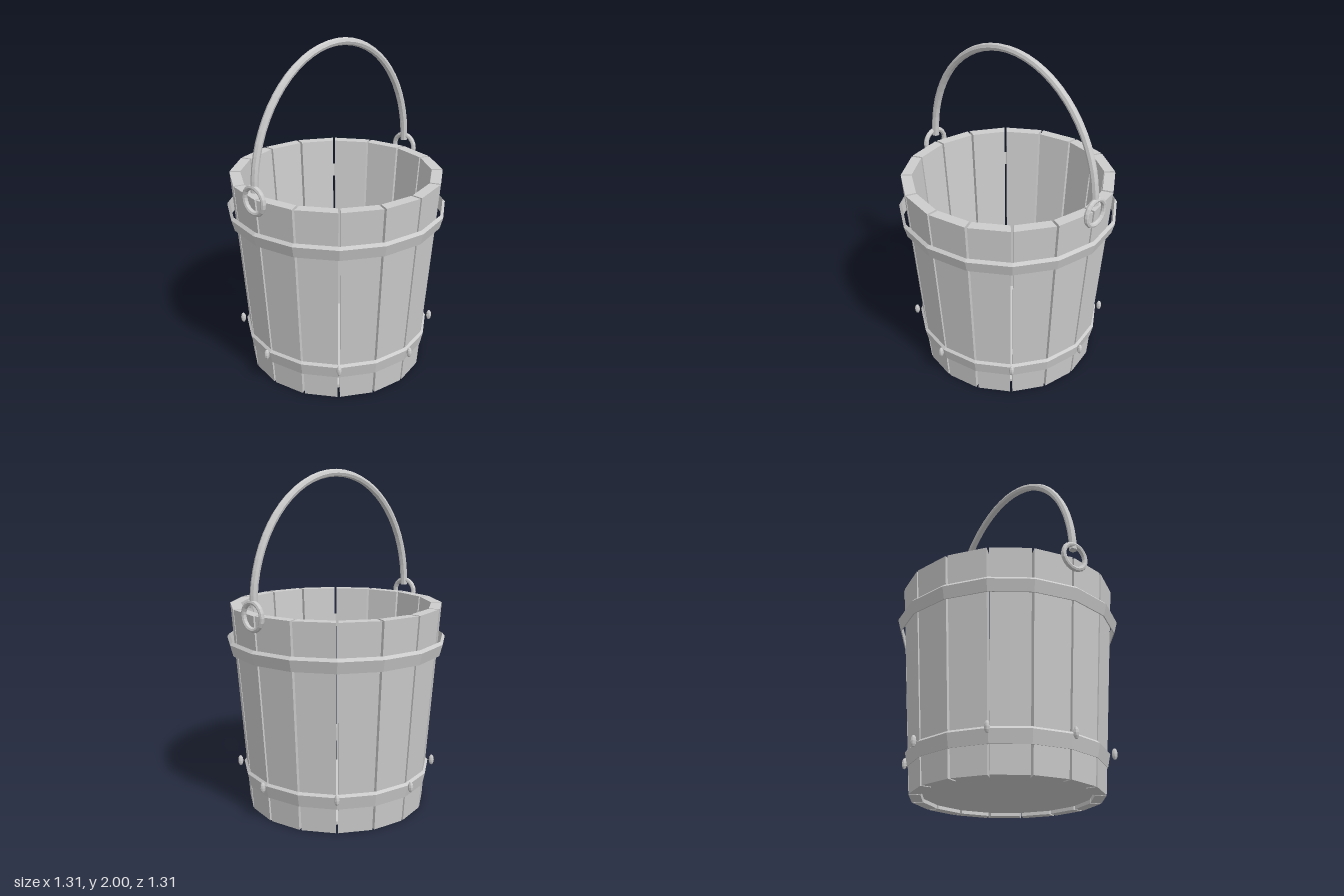
import * as THREE from 'three';

const SIDES = 16;
const STEP = (Math.PI * 2) / SIDES;
const HEIGHT = 1.222;

export function createModel() {
  const bucket = new THREE.Group();
  bucket.name = 'bucket';
  const grey = new THREE.MeshStandardMaterial({ color: 0xcccccc, flatShading: true });
  grey.name = 'plain grey';

  const add = (name, geometry, parent = bucket) => {
    const mesh = new THREE.Mesh(geometry, grey);
    mesh.name = name;
    parent.add(mesh);
    return mesh;
  };

  // Tapered staves with narrow gaps between them
  const staveGeometry = new THREE.BoxGeometry(1, 1, 1);
  const p = staveGeometry.attributes.position;
  for (let i = 0; i < p.count; i++) {
    const top = p.getY(i) > 0;
    const outside = p.getZ(i) > 0;
    const r = outside ? (top ? 0.632 : 0.541) : (top ? 0.568 : 0.477);
    const half = r * Math.sin(STEP / 2) - 0.007;
    p.setXYZ(i, Math.sign(p.getX(i)) * half, top ? HEIGHT : 0, r * Math.cos(STEP / 2));
  }
  staveGeometry.computeVertexNormals();
  const staves = new THREE.Group();
  staves.name = 'staves';
  bucket.add(staves);
  for (let i = 0; i < SIDES; i++) {
    add('stave', staveGeometry, staves).rotation.y = (i + 0.5) * STEP;
  }

  // Bottom board, set just above the foot of the staves
  add('bottomBoard', new THREE.CylinderGeometry(0.472, 0.472, 0.02, SIDES)).position.y = 0.028;

  // Hoops: closed thin profiles with a bevelled upper edge
  const hoop = (name, profile) =>
    add(name, new THREE.LatheGeometry(
      [...profile, profile[0]].map(([r, y]) => new THREE.Vector2(r, y)), SIDES));
  hoop('upperHoop', [[0.632, 0.95], [0.638, 0.95], [0.656, 1.018], [0.641, 1.035]]);
  hoop('lowerHoop', [[0.545, 0.15], [0.556, 0.15], [0.572, 0.225], [0.558, 0.24]]);

  // Small studs around the lower hoop
  const studGeometry = new THREE.SphereGeometry(1, 8, 6);
  studGeometry.scale(0.015, 0.033, 0.016);
  const studs = new THREE.Group();
  studs.name = 'studs';
  bucket.add(studs);
  for (let i = 0; i < 8; i++) {
    const a = (i * Math.PI) / 4;
    const stud = add('stud', studGeometry, studs);
    stud.position.set(Math.sin(a) * 0.596, 0.224, Math.cos(a) * 0.596);
    stud.rotation.y = a;
  }

  // Rings at both sides of the rim
  for (const side of [-1, 1]) {
    const ring = add(side > 0 ? 'leftRing' : 'rightRing', new THREE.TorusGeometry(0.076, 0.015, 8, 20));
    ring.rotation.y = Math.PI / 2;
    ring.position.set(side * 0.64, 1.222, 0);
  }

  // Arched handle with closed ends
  const points = [];
  for (let i = 0; i <= 24; i++) {
    const a = (i / 24) * Math.PI;
    points.push(new THREE.Vector3(-Math.cos(a) * 0.632, 1.268 + Math.sin(a) * 0.71, 0));
  }
  const handlePath = new THREE.CatmullRomCurve3(points);
  add('handle', new THREE.TubeGeometry(handlePath, 32, 0.022, 8));
  for (const side of [-1, 1]) {
    const cap = add('handleEnd', new THREE.CircleGeometry(0.022, 8));
    cap.rotation.x = Math.PI / 2;
    cap.position.set(side * 0.632, 1.268, 0);
  }

  return bucket;
}
